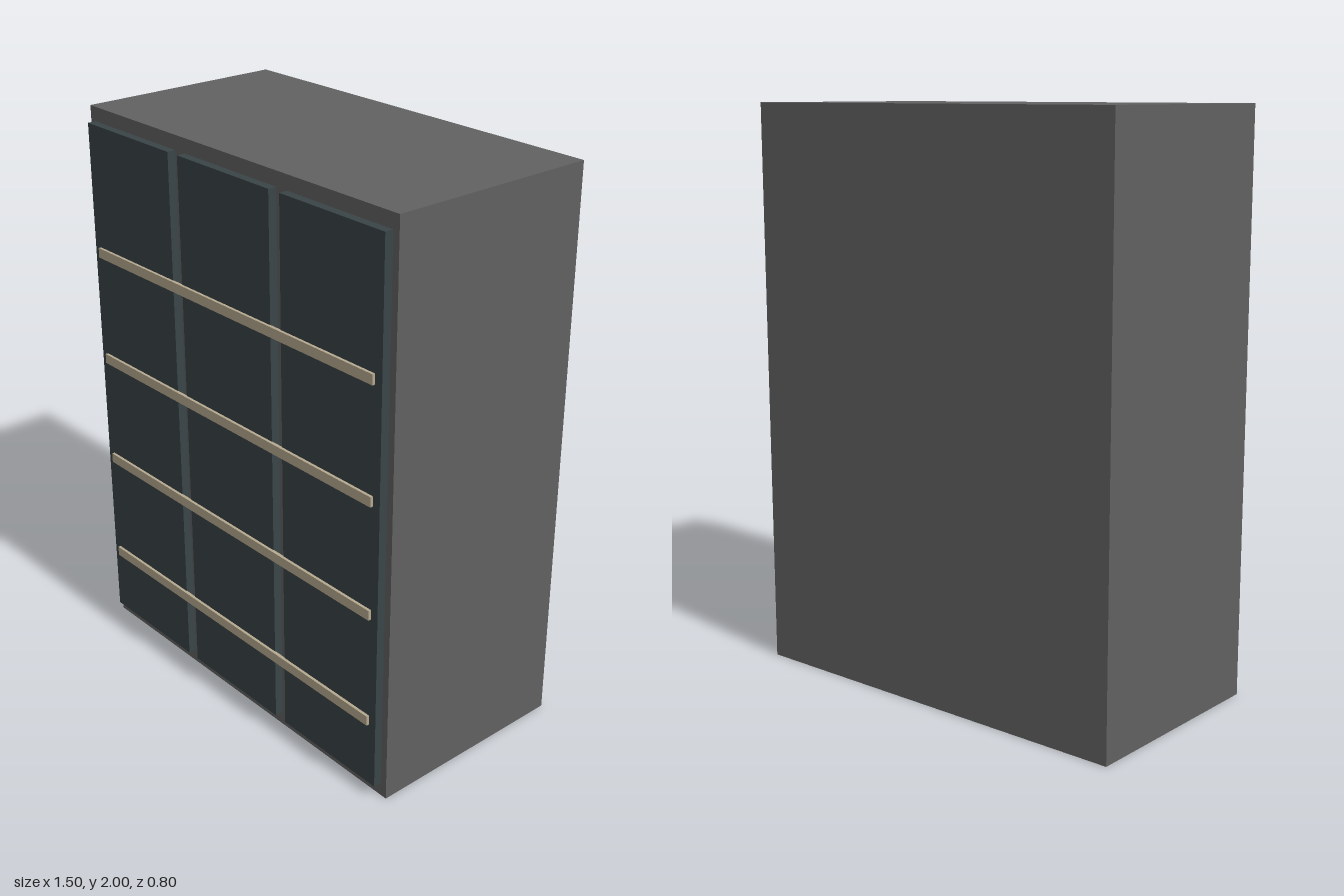
import * as THREE from 'three';

const paint = (color) => new THREE.MeshStandardMaterial({ color });

// Box given by its centre x, y and its back and front z
function addBox(parent, name, material, w, h, x, y, zBack, zFront) {
  const mesh = new THREE.Mesh(new THREE.BoxGeometry(w, h, zFront - zBack), material);
  mesh.name = name;
  mesh.position.set(x, y, (zBack + zFront) / 2);
  parent.add(mesh);
}

export function createModel() {
  const model = new THREE.Group();
  model.name = 'cabinet';
  const bodyGrey = paint(0x606160);
  const slate = paint(0x3a4446);
  const tan = paint(0xb5a88e);

  // Solid cabinet body
  addBox(model, 'body', bodyGrey, 1.5, 2, 0, 1, -0.4, 0.36);

  // Three tall front panels
  const panels = new THREE.Group();
  panels.name = 'frontPanels';
  for (const x of [-0.5, 0, 0.5]) addBox(panels, 'frontPanel', slate, 0.45, 1.9, x, 1, 0.36, 0.39);
  model.add(panels);

  // Four thin rails across the panels
  const rails = new THREE.Group();
  rails.name = 'rails';
  for (let i = 0; i < 4; i++) addBox(rails, 'rail', tan, 1.39, 0.035, 0, 0.3 + i * 0.4, 0.388, 0.4);
  model.add(rails);

  return model;
}
